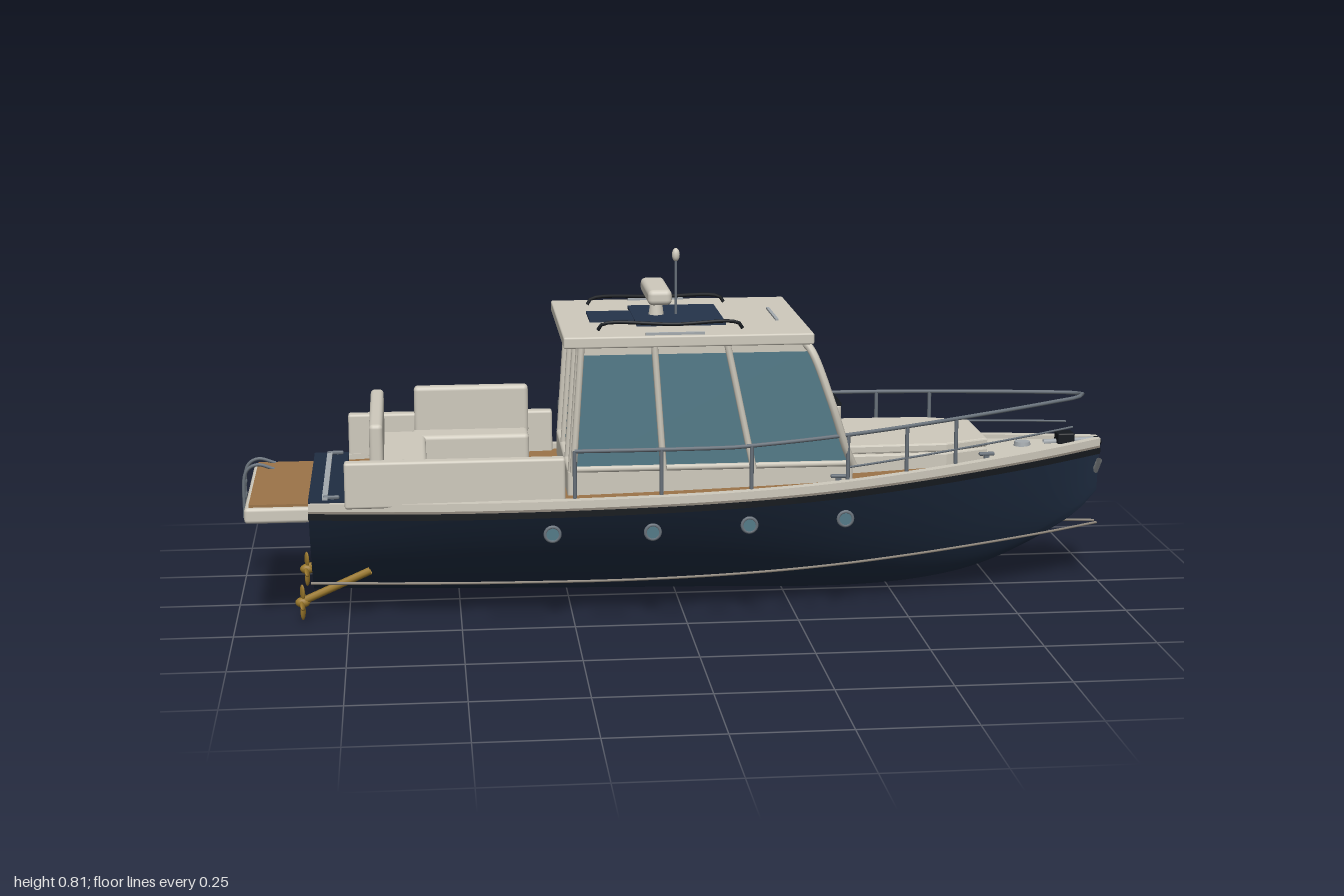
import * as THREE from 'three';
import { toCreasedNormals } from 'three/addons/utils/BufferGeometryUtils.js';
import { RoundedBoxGeometry } from 'three/addons/geometries/RoundedBoxGeometry.js';

const mat = (name, color) => {
  const m = new THREE.MeshStandardMaterial({ color, side: THREE.DoubleSide });
  m.name = name;
  return m;
};
const V = (x, y, z) => new THREE.Vector3(x, y, z);

// Smooth curve through [x, value] pairs
const curve = (pairs) => {
  const f = new THREE.CubicInterpolant(pairs.map((p) => p[0]), pairs.map((p) => p[1]), 1, [0]);
  return (x) => f.evaluate(THREE.MathUtils.clamp(x, pairs[0][0], pairs.at(-1)[0]))[0];
};
const beam = curve([[-0.83, 0.235], [-0.5, 0.275], [-0.15, 0.29], [0.1, 0.285], [0.3, 0.26], [0.5, 0.208], [0.7, 0.138], [0.85, 0.078], [0.99, 0.012]]);
const keel = curve([[-0.83, 0.037], [0, 0.018], [0.45, 0.011], [0.6, 0.024], [0.7, 0.046], [0.8, 0.085], [0.9, 0.14], [0.95, 0.175], [0.99, 0.22]]);
const sheer = (x) => 0.28 + 0.055 * ((x + 0.83) / 1.82) ** 2;

// Skin over rows of points
function loft(rows, crease = 0.6) {
  const n = rows[0].length, idx = [];
  for (let i = 0; i < rows.length - 1; i++) for (let j = 0; j < n - 1; j++) {
    const a = i * n + j, b = a + n;
    idx.push(a, a + 1, b, b, a + 1, b + 1);
  }
  const g = new THREE.BufferGeometry().setFromPoints(rows.flat());
  g.setIndex(idx);
  return toCreasedNormals(g, crease);
}
const stations = (x0, x1, n) => Array.from({ length: n + 1 }, (_, i) => x0 + (x1 - x0) * i / n);

export function createModel() {
  const root = new THREE.Group();
  root.name = 'motorBoat';
  const navy = mat('navyHull', 0x1f2d42), cream = mat('cream', 0xcfcabd), teak = mat('teak', 0x9c7448),
    glass = mat('glass', 0x537a88), steel = mat('steel', 0x69727b), black = mat('blackRubber', 0x15191e),
    bronze = mat('bronze', 0x9a782c), panel = mat('panelBlue', 0x25344b), taupe = mat('taupeStripe', 0x8d857a),
    silver = mat('silver', 0xa4aaae);

  const add = (name, geo, m, parent = root) => {
    const mesh = new THREE.Mesh(geo, m);
    mesh.name = name;
    parent.add(mesh);
    return mesh;
  };
  // Box from its minimum and maximum on each axis, optionally rounded
  const box = (name, m, [x0, x1], [y0, y1], [z0, z1], r = 0) => {
    const s = [x1 - x0, y1 - y0, z1 - z0];
    const g = r ? new RoundedBoxGeometry(...s, 3, r) : new THREE.BoxGeometry(...s);
    return add(name, g.translate((x0 + x1) / 2, (y0 + y1) / 2, (z0 + z1) / 2), m);
  };
  const tube = (name, m, pts, r, segs = 24) => {
    const c = pts.length > 2 ? new THREE.CatmullRomCurve3(pts) : new THREE.LineCurve3(...pts);
    return add(name, new THREE.TubeGeometry(c, pts.length > 2 ? segs : 1, r, 8), m);
  };
  const ball = (name, m, p, r, sx = 1, sy = 1, sz = 1) => {
    const b = add(name, new THREE.SphereGeometry(r, 14, 10), m);
    b.position.copy(p);
    b.scale.set(sx, sy, sz);
    return b;
  };

  // Hull skin with rounded V sections, transom and stem
  const section = (x) => Array.from({ length: 33 }, (_, j) => {
    const t = -1 + j / 16, p = x < 0.4 ? 1.75 : 1.75 - 0.5 * (x - 0.4) / 0.59;
    return V(x, keel(x) + (sheer(x) - keel(x)) * Math.abs(t) ** p, t * beam(x));
  });
  add('hull', loft(stations(-0.83, 0.99, 56).map(section), 1), navy);
  for (const [name, x] of [['transom', -0.83], ['stem', 0.99]]) {
    const s = section(x);
    add(name, loft([s, s.map((p) => V(x, sheer(x), p.z))]), navy);
  }

  // Decks follow the beam, inset from the edge
  const deck = (name, m, x0, x1, inset, lift) => add(name, loft(stations(x0, x1, 24).map((x) => {
    const w = Math.max(beam(x) - inset, 0.004);
    return [V(x, sheer(x) + lift, -w), V(x, sheer(x) + lift, w)];
  })), m);
  deck('deckBase', navy, -0.83, 0.99, 0, 0);
  deck('teakDeck', teak, -0.75, 0.58, 0.034, 0.006);
  deck('foredeck', cream, 0.58, 0.95, 0.03, 0.008);

  // Gunwale cap, rub rail and side stripe on both sides
  const edgeRail = (name, m, s, zi, zo, yl, yh) => add(name, loft(stations(-0.83, 0.99, 40).map((x) => {
    const w = beam(x), y = sheer(x);
    return [[zi, yl], [zo, yl], [zo, yh], [zi, yh], [zi, yl]].map(([dz, dy]) => V(x, y + dy, s * Math.max(w + dz, 0)));
  })), m);
  for (const s of [1, -1]) {
    edgeRail('gunwaleCap', cream, s, -0.014, 0.009, -0.003, 0.014);
    edgeRail('rubRail', black, s, -0.01, 0.012, -0.022, -0.008);
    edgeRail('rubRailTrim', taupe, s, -0.01, 0.01, -0.008, -0.003);
    tube('sideStripe', taupe, stations(-0.83, 0.99, 20).map((x) => V(x, 0.1 + 0.045 * Math.max(0, (x + 0.2) / 1.19) ** 1.5, s * beam(x) * 0.81)), 0.003, 60);
  }
  box('transomCap', navy, [-0.83, -0.75], [0.27, 0.298], [-0.24, 0.24]);
  box('transomTrim', silver, [-0.8, -0.788], [0.298, 0.303], [-0.23, 0.23]);
  ball('bowFender', black, V(0.985, 0.337, 0), 0.013, 1, 1, 1.2);

  // Swim platform and ladder
  box('swimPlatform', cream, [-0.97, -0.82], [0.245, 0.28], [-0.217, 0.217], 0.008);
  box('platformTeak', teak, [-0.96, -0.83], [0.279, 0.286], [-0.207, 0.207]);
  for (const z of [-0.2, -0.138]) tube('ladderRail', steel, [V(-0.92, 0.285, z), V(-0.96, 0.296, z), V(-0.985, 0.28, z), V(-0.992, 0.17, z)], 0.004);
  for (const y of [0.185, 0.215, 0.245]) tube('ladderRung', steel, [V(-0.99, y, -0.2), V(-0.99, y, -0.138)], 0.004);

  // Cockpit coamings and seating
  for (const s of [1, -1]) {
    const z = [0.237 * s, 0.268 * s].sort((a, b) => a - b);
    box('coaming', cream, [-0.75, -0.27], [0.285, 0.388], z, 0.006);
  }
  box('aftSeat', cream, [-0.69, -0.57], [0.285, 0.355], [-0.2, 0.2], 0.01);
  box('aftBackrest', cream, [-0.695, -0.665], [0.34, 0.457], [-0.2, 0.2], 0.01);
  box('sideSeat', cream, [-0.6, -0.33], [0.285, 0.355], [-0.237, -0.135], 0.01);
  box('sideBackrest', cream, [-0.595, -0.328], [0.34, 0.457], [-0.237, -0.205], 0.01);

  // Cabin: base, raked glass body, frames and roof
  box('cabinBase', cream, [-0.262, 0.375], [0.28, 0.35], [-0.215, 0.215], 0.008);
  const side = new THREE.Shape([[-0.25, 0.345], [0.37, 0.345], [0.272, 0.61], [-0.23, 0.61]].map((p) => new THREE.Vector2(...p)));
  add('cabinGlass', new THREE.ExtrudeGeometry(side, { depth: 0.42, bevelEnabled: false }).translate(0, 0, -0.21), glass);
  box('roofHeader', cream, [-0.235, 0.27], [0.605, 0.63], [-0.212, 0.212]);
  box('roof', cream, [-0.27, 0.28], [0.626, 0.651], [-0.245, 0.245], 0.004);
  for (const s of [1, -1]) {
    for (const [xt, xb] of [[-0.23, -0.25], [-0.07, -0.05], [0.09, 0.15]])
      tube('sideMullion', cream, [V(xt, 0.63, 0.222 * s), V(xb, 0.345, 0.222 * s)], 0.0075);
    tube('windshieldPillar', cream, [V(0.255, 0.628, 0.185 * s), V(0.275, 0.612, 0.225 * s), V(0.318, 0.5, 0.245 * s), V(0.355, 0.39, 0.23 * s), V(0.375, 0.345, 0.215 * s)], 0.009);
    tube('sideSill', cream, [V(-0.25, 0.35, 0.215 * s), V(0.37, 0.35, 0.215 * s)], 0.007);
    tube('aftMullion', cream, [V(-0.233, 0.62, 0.075 * s), V(-0.253, 0.345, 0.075 * s)], 0.0075);
    tube('aftPillar', cream, [V(-0.233, 0.62, 0.208 * s), V(-0.253, 0.345, 0.208 * s)], 0.0085);
    tube('wiper', black, [V(0.303, 0.54, 0.145 * s), V(0.318, 0.512, 0.095 * s), V(0.338, 0.46, 0.072 * s), V(0.366, 0.38, 0.1 * s)], 0.0035);
    tube('roofRail', black, [V(-0.19, 0.653, 0.168 * s), V(-0.18, 0.666, 0.17 * s), V(-0.02, 0.666, 0.185 * s), V(0.12, 0.666, 0.176 * s), V(0.13, 0.653, 0.175 * s)], 0.004);
    box('roofVent', silver, [-0.09, 0.04], [0.65, 0.656], [0.229 * s - 0.004, 0.229 * s + 0.004]);
  }
  tube('windshieldMullion', cream, [V(0.274, 0.61, 0), V(0.373, 0.345, 0)], 0.008);
  box('helmConsole', cream, [0.25, 0.352], [0.41, 0.476], [0.075, 0.183], 0.006);
  box('consoleTop', black, [0.25, 0.352], [0.474, 0.481], [0.072, 0.186]);

  // Roof equipment
  box('solarPanel', panel, [-0.1, 0.1], [0.65, 0.657], [-0.123, 0.123]);
  box('roofHatch', panel, [-0.2, -0.1], [0.65, 0.656], [-0.06, 0.06]);
  box('roofSlot', silver, [0.217, 0.224], [0.65, 0.655], [-0.08, 0.08]);
  add('radarPedestal', new THREE.CylinderGeometry(0.012, 0.018, 0.045, 16).translate(-0.045, 0.674, 0), cream);
  box('radarBar', cream, [-0.072, -0.018], [0.692, 0.727], [-0.098, 0.098], 0.012);
  tube('antenna', steel, [V(0, 0.65, 0), V(0, 0.79, 0)], 0.003);
  ball('antennaTip', cream, V(0, 0.792, 0), 0.009, 1, 1.7, 1);

  // Foredeck trunk with sun pad
  const padShape = new THREE.Shape([[0.37, -0.145], [0.6, -0.14], [0.7, -0.098], [0.7, 0.098], [0.6, 0.14], [0.37, 0.145]].map((p) => new THREE.Vector2(...p)));
  const slab = (name, y, h) => add(name, new THREE.ExtrudeGeometry(padShape, { depth: h, bevelEnabled: true, bevelThickness: 0.004, bevelSize: 0.004, bevelSegments: 2 }).rotateX(Math.PI / 2).translate(0, y, 0), cream);
  slab('trunk', 0.348, 0.05);
  slab('sunPad', 0.37, 0.012);
  add('deckHatch', new THREE.CylinderGeometry(0.018, 0.02, 0.012, 20).translate(0.81, 0.336, 0), silver);

  // Windlass, anchor and cleats
  box('windlass', black, [0.89, 0.93], [0.335, 0.362], [-0.02, 0.02], 0.004);
  tube('anchorRoller', silver, [V(0.86, 0.338, 0), V(0.98, 0.342, 0)], 0.007);
  tube('anchor', silver, [V(0.985, 0.3, 0.035), V(0.985, 0.275, 0.01), V(0.985, 0.257, -0.012), V(0.985, 0.257, -0.04)], 0.007);
  for (const s of [1, -1]) for (const x of [-0.78, 0.34, 0.7]) {
    const z = s * (beam(x) - 0.022), y = sheer(x) + 0.018;
    box('cleat', steel, [x - 0.018, x + 0.018], [y, y + 0.008], [z - 0.005, z + 0.005], 0.003);
    box('cleatFoot', steel, [x - 0.006, x + 0.006], [y - 0.016, y + 0.002], [z - 0.004, z + 0.004]);
  }

  // Guard rails with stanchions
  const railZ = (x) => Math.max(beam(x) - 0.014, 0.012);
  const railY = (x) => 0.405 + 0.045 * Math.max(0, (x - 0.1) / 0.85);
  const half = stations(-0.25, 0.93, 20);
  const top = [...half.map((x) => V(x, railY(x), railZ(x))), V(0.95, 0.451, 0), ...half.reverse().map((x) => V(x, railY(x), -railZ(x)))];
  tube('guardRail', steel, top, 0.0045, 100);
  for (const s of [1, -1]) {
    for (const x of [-0.25, -0.06, 0.14, 0.36, 0.5, 0.62])
      tube('stanchion', steel, [V(x, sheer(x), s * railZ(x)), V(x, railY(x), s * railZ(x))], 0.0045);
    tube('lowerRail', steel, stations(0.36, 0.92, 12).map((x) => V(x, 0.345 + 0.035 * (x - 0.36) / 0.56, s * railZ(x))), 0.0025, 30);
  }

  // Portholes
  for (const s of [1, -1]) for (const x of [-0.3, -0.08, 0.135, 0.355]) {
    const z = s * (beam(x) - 0.008), y = 0.221 + 0.008 * (x > 0.1);
    add('portholeRing', new THREE.TorusGeometry(0.016, 0.004, 8, 24).translate(x, y, z), steel);
    add('portholeGlass', new THREE.CylinderGeometry(0.015, 0.015, 0.006, 20).rotateX(Math.PI / 2).translate(x, y, z), glass);
  }

  // Propellers on inclined shafts
  for (const s of [1, -1]) {
    const z = 0.14 * s;
    tube('propShaft', bronze, [V(-0.7, 0.112, z), V(-0.86, 0.042, z)], 0.009);
    ball('propHub', bronze, V(-0.852, 0.043, z), 0.012, 1.4, 1, 1);
    for (let k = 0; k < 4; k++) {
      const a = k * Math.PI / 2 + 0.12;
      const blade = ball('propBlade', bronze, V(-0.852, 0.043 + Math.cos(a) * 0.023, z + Math.sin(a) * 0.023), 0.02, 0.22, 1, 0.45);
      blade.rotation.set(a, 0.5, 0, 'XYZ');
    }
  }
  return root;
}
